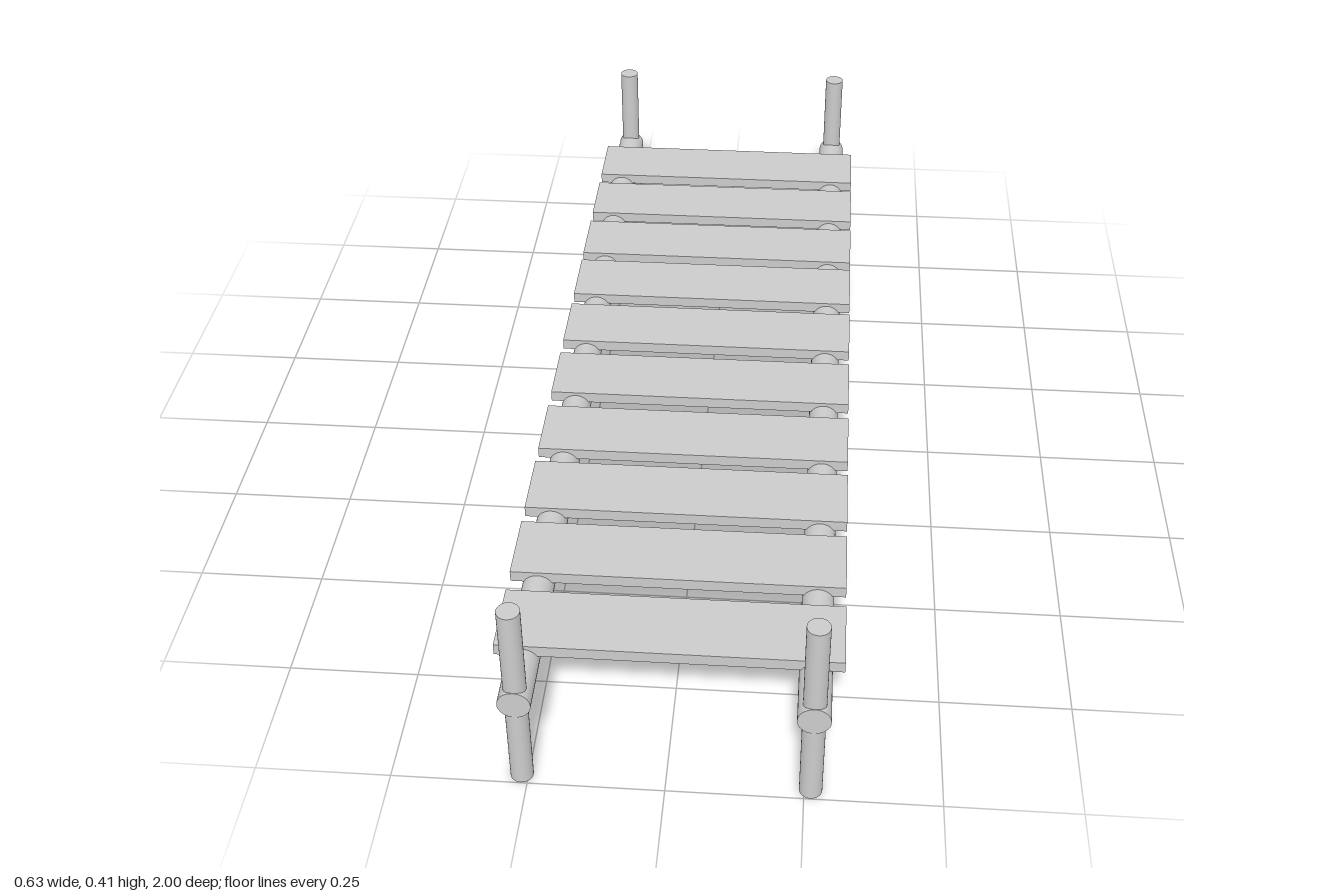
import * as THREE from 'three';

const material = new THREE.MeshStandardMaterial({ color: 0xcccccc });

function addMesh(parent, name, geometry, x, y, z) {
  const mesh = new THREE.Mesh(geometry, material);
  mesh.name = name;
  mesh.position.set(x, y, z);
  parent.add(mesh);
  return mesh;
}

export function createModel() {
  const model = new THREE.Group();
  model.name = 'plankWalkway';

  const railX = 0.262;
  const postGeometry = new THREE.CylinderGeometry(0.021, 0.021, 0.409, 32);
  const railGeometry = new THREE.CylinderGeometry(0.03, 0.03, 1.99, 32).rotateX(Math.PI / 2);
  const plankGeometry = new THREE.BoxGeometry(0.627, 0.023, 0.142);

  // Long round rails, each with an upright post at both ends
  for (const [side, x] of [['left', railX], ['right', -railX]]) {
    addMesh(model, `${side}Rail`, railGeometry, x, 0.202, 0.005);
    addMesh(model, `${side}FrontPost`, postGeometry, x, 0.2045, 0.978);
    addMesh(model, `${side}BackPost`, postGeometry, x, 0.2045, -0.979);
  }

  // Slightly unevenly spaced deck planks, back to front
  const planks = new THREE.Group();
  planks.name = 'planks';
  const plankZ = [-0.828, -0.645, -0.464, -0.292, -0.11, 0.078, 0.267, 0.449, 0.632, 0.822];
  plankZ.forEach((z, i) => addMesh(planks, `plank${i + 1}`, plankGeometry, 0, 0.2275, z));
  model.add(planks);

  return model;
}
